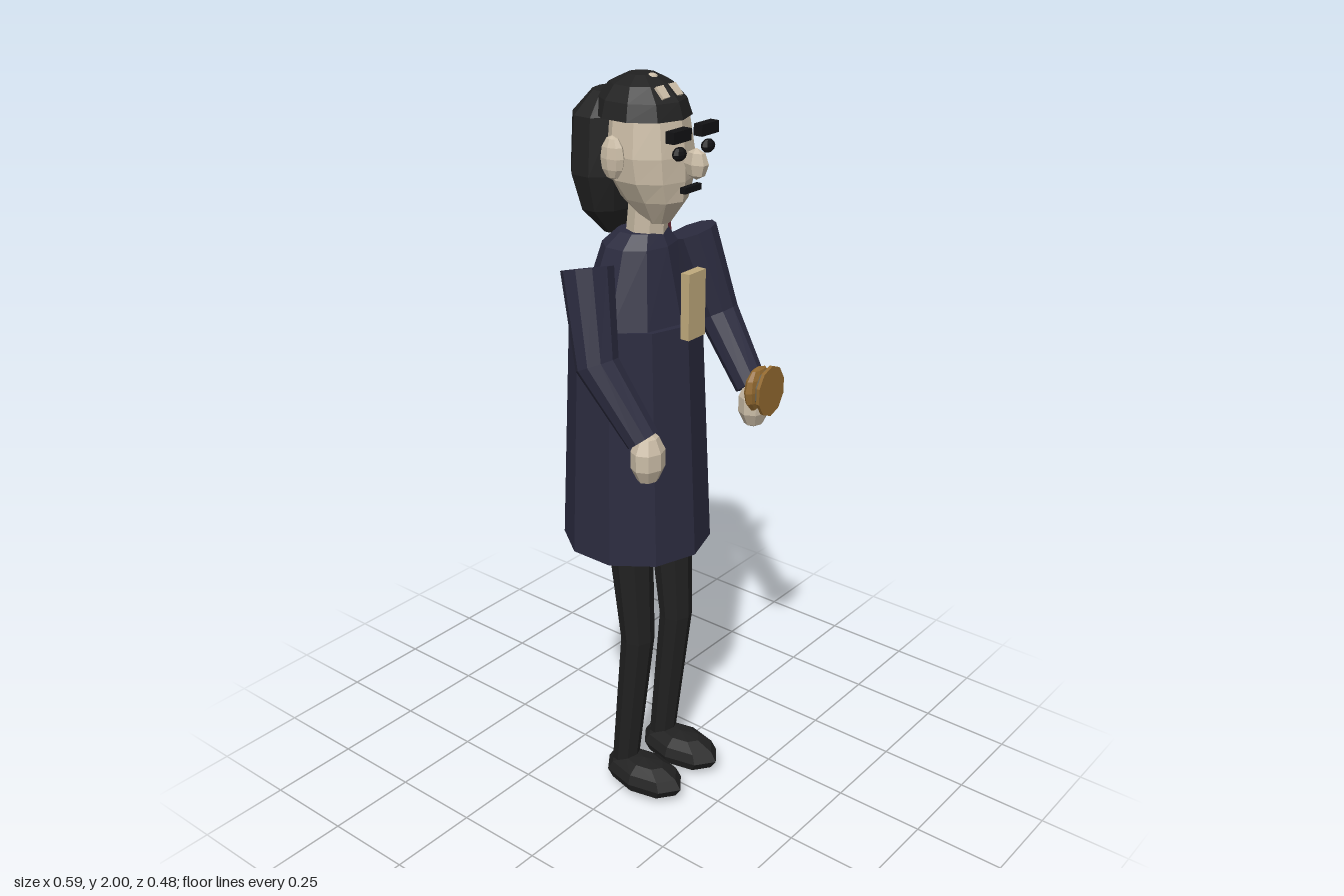
import * as THREE from 'three';

export function createModel() {
  const model = new THREE.Group();
  const mat = (name, color, side = THREE.FrontSide) => {
    const m = new THREE.MeshStandardMaterial({ color, flatShading: true, side });
    m.name = name;
    return m;
  };
  const navy = mat('navy cloth', 0x2b2b3f);
  const black = mat('black hair and trousers', 0x212121);
  const ink = mat('ink features', 0x121214);
  const skin = mat('pale skin', 0xcabca6);
  const red = mat('red collar cloth', 0x652832, THREE.DoubleSide);
  const cream = mat('cream linen', 0xbfaa7c);
  const brass = mat('brass', 0x936a30);
  const dial = mat('dial', 0x6b6350);

  const add = (name, geometry, material, x = 0, y = 0, z = 0) => {
    const mesh = new THREE.Mesh(geometry, material);
    mesh.name = name;
    mesh.position.set(x, y, z);
    model.add(mesh);
    return mesh;
  };

  const ball = (name, material, c, r, sides = 8, rows = 6) =>
    add(name, new THREE.SphereGeometry(1, sides, rows).scale(...r), material, ...c);

  // Closed loft from the top ring to the bottom ring; a ring is [x, y, z, rx, rz].
  // Rings lie flat when level is true, otherwise they turn with the path.
  function loft(name, material, rings, sides = 10, level = true) {
    const g = new THREE.CylinderGeometry(1, 1, 1, sides, rings.length - 1);
    const p = g.attributes.position;
    const at = i => new THREE.Vector3(...rings[Math.min(Math.max(i, 0), rings.length - 1)].slice(0, 3));
    const up = new THREE.Vector3(0, 1, 0);
    const turns = rings.map((_, i) => {
      const dir = level ? up : at(i - 1).sub(at(i + 1)).normalize();
      return new THREE.Quaternion().setFromUnitVectors(up, dir);
    });
    for (let i = 0; i < p.count; i++) {
      const k = Math.round((0.5 - p.getY(i)) * (rings.length - 1));
      const [, , , rx, rz] = rings[k];
      const v = new THREE.Vector3(p.getX(i) * rx, 0, p.getZ(i) * rz).applyQuaternion(turns[k]).add(at(k));
      p.setXYZ(i, v.x, v.y, v.z);
    }
    g.computeVertexNormals();
    return add(name, g, material);
  }

  // Coat: sloping shoulders over a long flared skirt
  loft('coatShoulders', navy, [
    [0, 1.625, -0.02, 0.07, 0.06],
    [0, 1.59, -0.03, 0.104, 0.088],
    [0, 1.40, -0.035, 0.173, 0.138],
  ]);
  loft('coatSkirt', navy, [
    [0, 1.40, -0.045, 0.173, 0.168],
    [0, 0.765, -0.043, 0.198, 0.198],
  ]);
  add('shirtFront', new THREE.BoxGeometry(0.066, 0.17, 0.025), cream, 0, 1.46, 0.138);

  // Turned-up collar flap on one side
  const flap = new THREE.BufferGeometry();
  flap.setAttribute('position', new THREE.Float32BufferAttribute(
    [0.155, 1.49, -0.125, 0.155, 1.69, -0.065, 0.04, 1.595, 0.04], 3));
  flap.computeVertexNormals();
  add('collarFlap', flap, red);

  // Neck and head
  loft('neck', skin, [
    [0, 1.71, 0.0, 0.05, 0.05],
    [0, 1.60, -0.01, 0.052, 0.052],
  ], 8);
  loft('head', skin, [
    [0, 1.975, -0.01, 0.05, 0.05],
    [0, 1.92, -0.005, 0.095, 0.1],
    [0, 1.82, 0, 0.11, 0.11],
    [0, 1.76, 0.005, 0.102, 0.105],
    [0, 1.71, 0.015, 0.074, 0.088],
    [0, 1.65, 0.025, 0.033, 0.035],
  ]);

  // Hair: a cap over the crown and a long mass behind
  loft('hairCap', black, [
    [0, 2.0, -0.025, 0.035, 0.035],
    [0, 1.98, -0.025, 0.075, 0.078],
    [0, 1.945, -0.023, 0.1, 0.112],
    [0, 1.905, -0.02, 0.113, 0.122],
  ]);
  loft('hairBack', black, [
    [0, 1.955, -0.115, 0.06, 0.04],
    [0, 1.90, -0.12, 0.112, 0.082],
    [0, 1.76, -0.12, 0.124, 0.086],
    [0, 1.67, -0.115, 0.1, 0.064],
    [0, 1.605, -0.105, 0.04, 0.025],
  ]);
  // Bare patches showing through the front of the hair
  const patch = add('forelockPatch', new THREE.BoxGeometry(0.075, 0.008, 0.034), skin, 0, 1.966, 0.058);
  patch.rotation.x = 0.8;
  ball('crownPatch', skin, [0, 1.994, 0.008], [0.014, 0.009, 0.014]);

  // Face
  ball('nose', skin, [0, 1.808, 0.142], [0.02, 0.038, 0.034], 6, 4);
  add('mouth', new THREE.BoxGeometry(0.064, 0.015, 0.015), ink, 0, 1.747, 0.127);

  for (const s of [-1, 1]) {
    const side = s > 0 ? 'left' : 'right';
    ball(side + 'Ear', skin, [s * 0.116, 1.82, -0.018], [0.021, 0.053, 0.035], 8, 6);
    ball(side + 'Eye', ink, [s * 0.055, 1.84, 0.134], [0.022, 0.017, 0.014], 8, 6);
    add(side + 'Brow', new THREE.BoxGeometry(0.066, 0.028, 0.025), ink, s * 0.053, 1.882, 0.13);

    // Sleeve bent at the elbow, with a small hand
    loft(side + 'Sleeve', navy, [
      [s * 0.205, 1.57, -0.025, 0.067, 0.064],
      [s * 0.243, 1.35, 0.035, 0.055, 0.055],
      [s * 0.224, 1.18, 0.162, 0.043, 0.043],
    ], 10, false);
    ball(side + 'Hand', skin, [s * 0.222, 1.135, 0.176], [0.049, 0.07, 0.042], 8, 5);

    // Leg bent at the knee, with a rounded shoe
    loft(side + 'Leg', black, [
      [s * 0.085, 0.85, 0.0, 0.06, 0.065],
      [s * 0.084, 0.50, 0.028, 0.048, 0.044],
      [s * 0.084, 0.06, -0.02, 0.037, 0.037],
    ], 8, false);
    ball(side + 'Shoe', black, [s * 0.083, 0.054, 0.049], [0.073, 0.053, 0.13], 8, 6);
  }

  // Open pocket watch held in the left hand: case, dial and lid
  ball('watchCase', brass, [0.208, 1.185, 0.196], [0.057, 0.062, 0.021], 10, 6);
  const disc = (name, material, r, z, depth) => {
    const g = new THREE.CylinderGeometry(r, r, depth, 10).rotateX(Math.PI / 2).scale(1, 1.2, 1);
    add(name, g, material, 0.208, 1.187, z);
  };
  disc('watchDial', dial, 0.047, 0.221, 0.005);
  disc('watchPin', ink, 0.012, 0.226, 0.014);
  disc('watchLid', brass, 0.058, 0.234, 0.009);

  return model;
}
